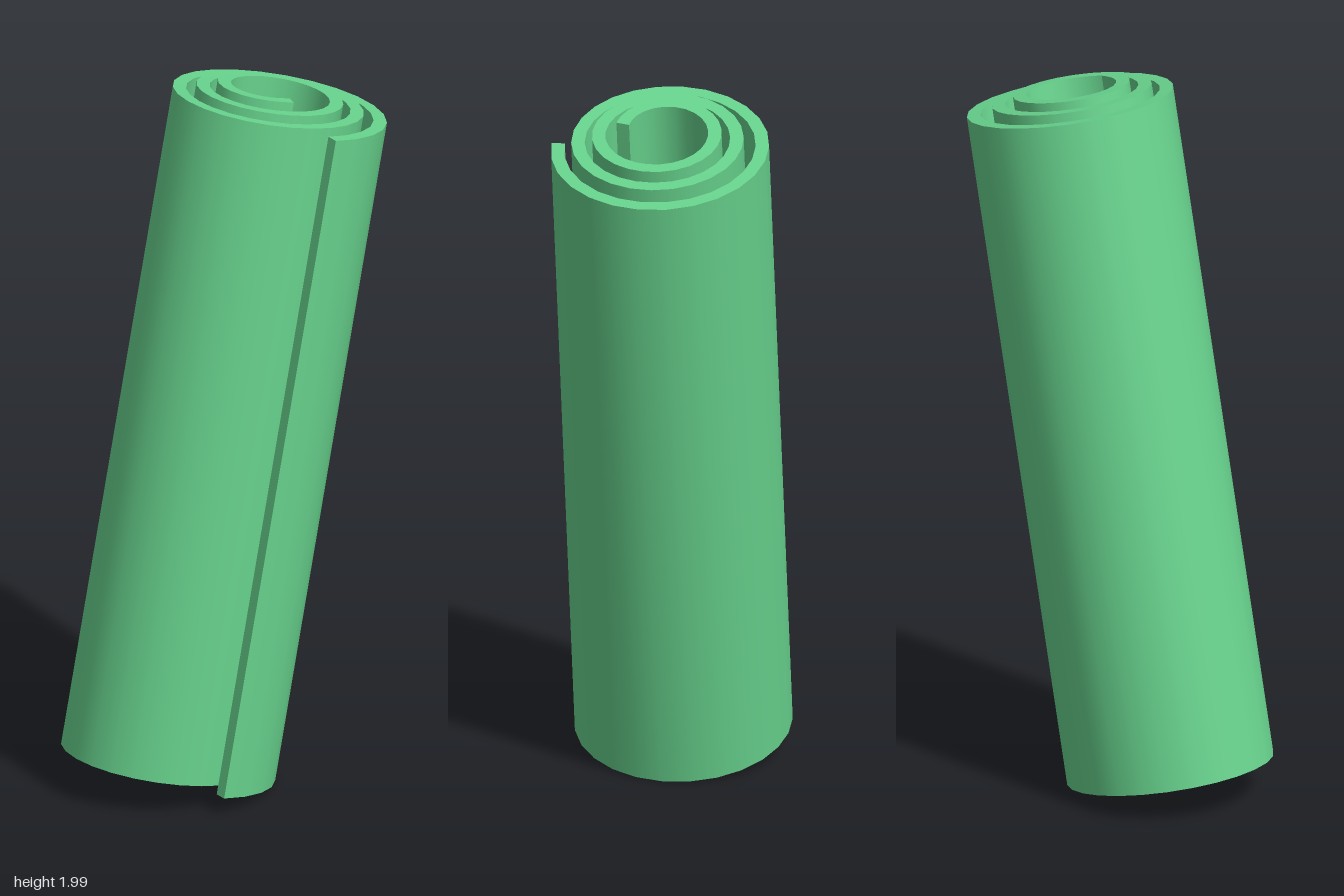
import * as THREE from 'three';

const LENGTH = 1.893, THICKNESS = 0.037, TILT = 0.187;
const RISE_PER_TURN = 0.018; // each turn inwards slides a little along the roll
const STEPS = 76;

// Outer radius of the sheet at every quarter turn, from the free edge inwards
const RADII = [0.31, 0.312, 0.29, 0.278, 0.255, 0.242, 0.22, 0.219, 0.198, 0.18, 0.16, 0.163, 0.135];
const radiusCurve = new THREE.SplineCurve(RADII.map((r, i) => new THREE.Vector2(i, r)));

// Four corners of the sheet's cross-section at an angle round the roll
function section(angle) {
  const turn = angle / (2 * Math.PI);
  const outer = radiusCurve.getPoint(turn / 3).y;
  const inner = outer - THICKNESS;
  const low = turn * RISE_PER_TURN, high = low + LENGTH;
  const at = (r, y) => [r * Math.sin(angle), y, r * Math.cos(angle)];
  return [at(outer, low), at(outer, high), at(inner, high), at(inner, low)];
}

function rolledSheet() {
  const start = 0.06, end = 6 * Math.PI - 0.18;
  const sections = [];
  for (let i = 0; i <= STEPS; i++) sections.push(section(start + (end - start) * i / STEPS));

  const positions = [], index = [];
  // One strip per side, with its own vertices so the edges stay sharp
  for (let side = 0; side < 4; side++) {
    const base = positions.length / 3;
    sections.forEach((s, i) => {
      positions.push(...s[side], ...s[(side + 1) % 4]);
      if (i === STEPS) return;
      const a = base + i * 2;
      index.push(a, a + 2, a + 1, a + 1, a + 2, a + 3);
    });
  }
  // Flat caps on the two free edges
  const cap = (corners) => {
    const b = positions.length / 3;
    corners.forEach((p) => positions.push(...p));
    index.push(b, b + 1, b + 2, b, b + 2, b + 3);
  };
  cap(sections[0]);
  cap([...sections[STEPS]].reverse());

  const geometry = new THREE.BufferGeometry();
  geometry.setAttribute('position', new THREE.Float32BufferAttribute(positions, 3));
  geometry.setIndex(index);
  geometry.computeVertexNormals();
  return geometry;
}

export function createModel() {
  const group = new THREE.Group();
  group.name = 'rolledMat';
  const mat = new THREE.Mesh(rolledSheet(), new THREE.MeshStandardMaterial({ color: 0x68d48e }));
  mat.name = 'matSheet';
  // The roll leans towards its left
  mat.rotation.z = -TILT;
  mat.position.set(-0.196, 0.056, -0.01);
  group.add(mat);
  return group;
}
